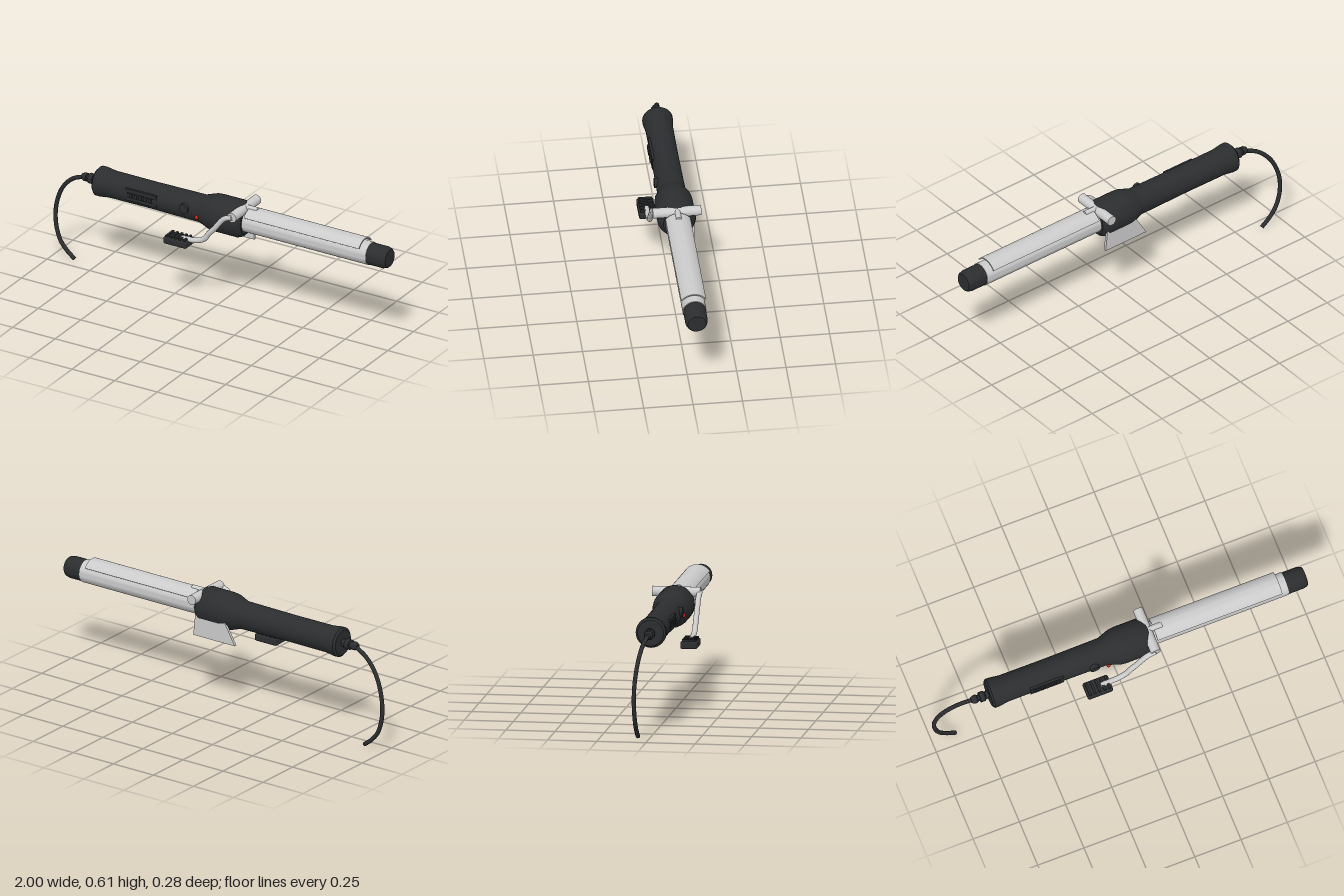
import * as THREE from 'three';
import { toCreasedNormals } from 'three/addons/utils/BufferGeometryUtils.js';
import { RoundedBoxGeometry } from 'three/addons/geometries/RoundedBoxGeometry.js';

const AXIS_Y = 0.513, AXIS_Z = -0.02;
const metal = new THREE.MeshStandardMaterial({ color: 0xcccccc });
const black = new THREE.MeshStandardMaterial({ color: 0x2b2d2f });
const red = new THREE.MeshStandardMaterial({ color: 0xcc2211 });

export function createModel() {
  const group = new THREE.Group();

  function add(name, geometry, material, x = 0, y = 0, z = 0) {
    const mesh = new THREE.Mesh(geometry, material);
    mesh.name = name;
    mesh.position.set(x, y, z);
    group.add(mesh);
    return mesh;
  }
  // Turned part along the tool axis, profile given as [x, radius]
  function turned(name, profile, material) {
    const g = new THREE.LatheGeometry(profile.map(([x, r]) => new THREE.Vector2(r, x)), 40);
    g.rotateZ(-Math.PI / 2);
    return add(name, toCreasedNormals(g, 0.5), material, 0, AXIS_Y, AXIS_Z);
  }
  // Round rod through points
  function rod(name, points, radius, material) {
    const curve = new THREE.CatmullRomCurve3(points.map(p => new THREE.Vector3(...p)));
    add(name, new THREE.TubeGeometry(curve, 48, radius, 12), material);
    for (const [end, dir] of [[0, -1], [1, 1]]) {
      const cap = add(name + 'End', new THREE.CircleGeometry(radius, 12), material);
      cap.position.copy(curve.getPoint(end));
      cap.quaternion.setFromUnitVectors(new THREE.Vector3(0, 0, 1), curve.getTangent(end).multiplyScalar(dir));
    }
  }

  // Handle, collar, barrel and cool tip
  turned('handle', [[-0.712, 0], [-0.712, 0.066], [-0.702, 0.077], [-0.68, 0.077], [-0.63, 0.07],
    [-0.4, 0.069], [-0.1, 0.072], [-0.04, 0.078]], black);
  turned('collar', [[-0.1, 0.07], [-0.07, 0.08], [-0.03, 0.094], [0, 0.097], [0.13, 0.097],
    [0.148, 0.09], [0.165, 0.072], [0.165, 0]], black);
  turned('barrel', [[0.15, 0.06], [0.892, 0.06], [0.892, 0]], metal);
  turned('tip', [[0.885, 0], [0.885, 0.057], [0.975, 0.057], [0.993, 0.052], [1, 0.046], [1, 0]], black);

  // Strain relief with stepped ribs
  turned('strainRelief', [[-0.805, 0], [-0.805, 0.014], [-0.79, 0.022], [-0.775, 0.022], [-0.772, 0.017],
    [-0.762, 0.017], [-0.76, 0.027], [-0.735, 0.027], [-0.73, 0.02], [-0.71, 0.02]], black);

  // Power cord
  rod('cord', [[-0.79, 0.512, -0.022], [-0.87, 0.475, -0.036], [-0.94, 0.4, -0.05], [-0.982, 0.29, -0.061],
    [-0.986, 0.19, -0.063], [-0.96, 0.1, -0.061], [-0.92, 0.05, -0.06], [-0.874, 0.013, -0.059]], 0.011, black);

  // Curved clamp plate over the top of the barrel
  const half = 0.98, arc = new THREE.Shape();
  arc.absarc(0, 0, 0.076, Math.PI / 2 - half, Math.PI / 2 + half, false);
  arc.absarc(0, 0, 0.07, Math.PI / 2 + half, Math.PI / 2 - half, true);
  const clampGeo = new THREE.ExtrudeGeometry(arc, { depth: 0.675, bevelEnabled: false, curveSegments: 24 });
  clampGeo.rotateY(Math.PI / 2);
  add('clampPlate', toCreasedNormals(clampGeo, 0.5), metal, 0.18, AXIS_Y, AXIS_Z);

  // Hinge bar across the tool and the peg joining it to the clamp
  const bar = new THREE.CylinderGeometry(0.026, 0.026, 0.245, 24);
  bar.rotateX(Math.PI / 2);
  add('hingeBar', bar, metal, 0.146, 0.574, -0.018);
  const peg = new THREE.CylinderGeometry(0.015, 0.015, 0.08, 16);
  peg.rotateZ(Math.PI / 2);
  add('hingePeg', peg, metal, 0.186, 0.584, AXIS_Z);

  // Bent lever with its ribbed thumb pad
  rod('lever', [[0.146, 0.574, 0.1], [0.1, 0.555, 0.1], [0.04, 0.483, 0.1], [0.01, 0.45, 0.1],
    [-0.015, 0.415, 0.1], [-0.06, 0.393, 0.1], [-0.15, 0.384, 0.1]], 0.014, metal);
  add('thumbPad', new RoundedBoxGeometry(0.135, 0.038, 0.086, 2, 0.009), black, -0.167, 0.368, 0.1);
  for (let i = 0; i < 5; i++) {
    add('padRib', new THREE.BoxGeometry(0.012, 0.014, 0.07), black, -0.219 + i * 0.026, 0.389, 0.1);
  }

  // Flat rest on the back of the collar
  const rest = new THREE.Shape([[-0.1, 0.372], [0.16, 0.372], [0.145, 0.51], [-0.02, 0.51]]
    .map(p => new THREE.Vector2(...p)));
  add('rest', new THREE.ExtrudeGeometry(rest, { depth: 0.014, bevelEnabled: false }), metal, 0, 0, -0.107);

  // Slide switch: frame with an opening and a ribbed slider
  const frame = new THREE.Shape([[-0.09, -0.032], [0.09, -0.032], [0.09, 0.032], [-0.09, 0.032]]
    .map(p => new THREE.Vector2(...p)));
  frame.holes.push(new THREE.Path([[-0.077, -0.015], [-0.077, 0.015], [0.077, 0.015], [0.077, -0.015]]
    .map(p => new THREE.Vector2(...p))));
  add('switchFrame', new THREE.ExtrudeGeometry(frame, { depth: 0.03, bevelEnabled: false }), black, -0.42, 0.517, 0.021);
  add('slider', new THREE.BoxGeometry(0.148, 0.022, 0.03), black, -0.42, 0.517, 0.036);
  for (let i = 0; i < 5; i++) {
    add('sliderRib', new THREE.BoxGeometry(0.014, 0.022, 0.012), black, -0.476 + i * 0.028, 0.517, 0.053);
  }

  // Round button and indicator light
  const button = new THREE.CylinderGeometry(0.025, 0.027, 0.03, 24);
  button.rotateX(Math.PI / 2);
  add('button', button, black, -0.165, 0.525, 0.046);
  add('indicatorLight', new THREE.SphereGeometry(0.011, 16, 10), red, -0.09, 0.495, 0.053);

  return group;
}
